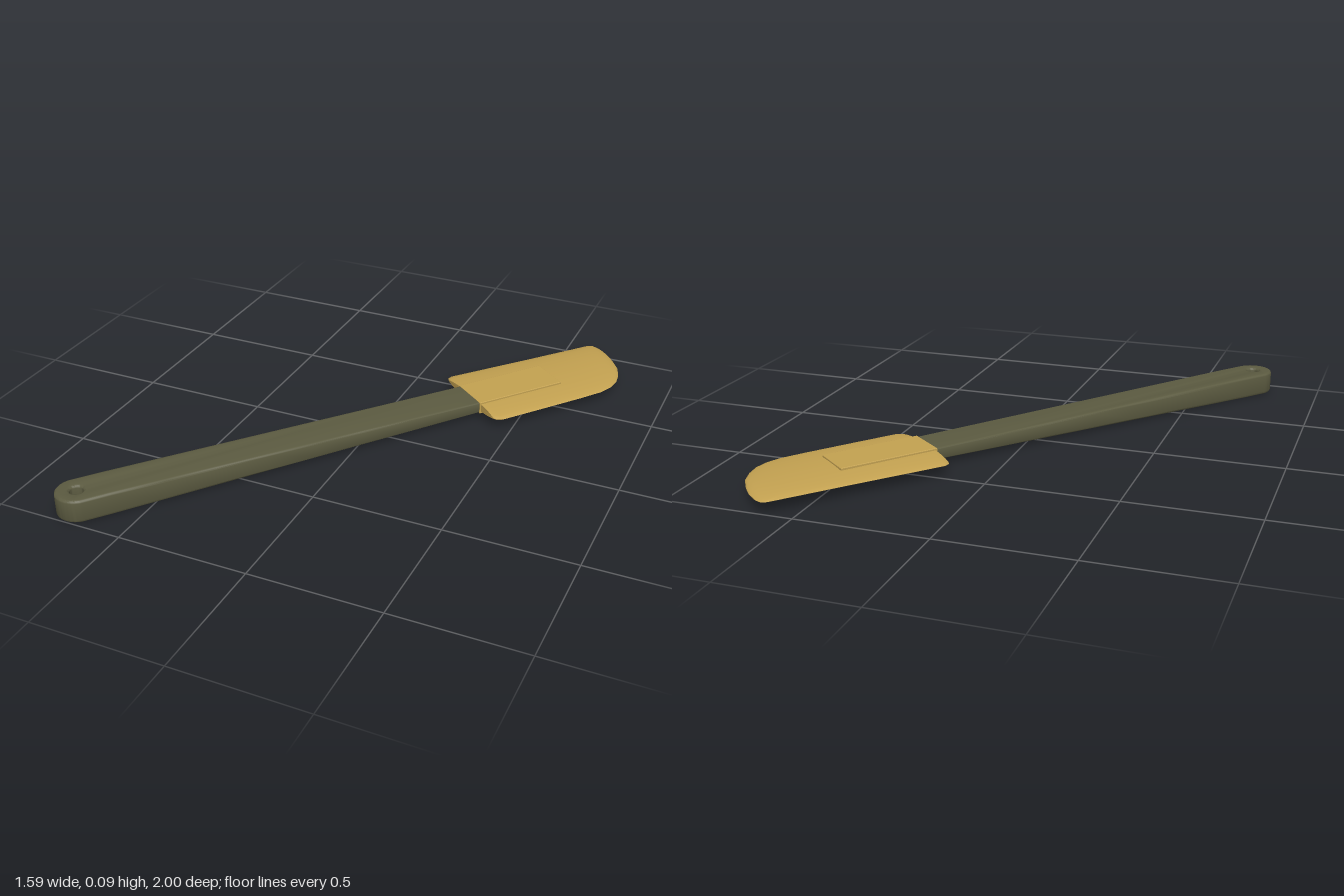
import * as THREE from 'three';
import { toCreasedNormals, mergeVertices } from 'three/addons/utils/BufferGeometryUtils.js';

const handleMaterial = new THREE.MeshStandardMaterial({ color: 0x5c5b41 });
const headMaterial = new THREE.MeshStandardMaterial({ color: 0xc4a251 });

// Plan outline (x along the tool, y across it) extruded and laid flat, centred on y = 0
function flatExtrude(shape, thickness, bevel) {
  const geo = new THREE.ExtrudeGeometry(shape, {
    depth: thickness - 2 * bevel, bevelEnabled: true, bevelThickness: bevel,
    bevelSize: bevel, bevelOffset: -bevel, bevelSegments: 3, curveSegments: 24,
  });
  geo.translate(0, 0, -thickness / 2 + bevel);
  return geo.rotateX(-Math.PI / 2);
}

// Long bar with a round, pierced end; it thins steadily towards the head
function createHandle() {
  const r = 0.079, end = 1.7, steps = 8;
  const shape = new THREE.Shape();
  shape.absarc(0, 0, r, Math.PI / 2, Math.PI * 1.5, false);
  for (let i = 0; i <= steps; i++) shape.lineTo(0.1 + (end - 0.1) * i / steps, -r);
  for (let i = steps; i >= 0; i--) shape.lineTo(0.1 + (end - 0.1) * i / steps, r);
  shape.closePath();
  const hole = new THREE.Path();
  hole.absarc(0, 0, 0.025, 0, Math.PI * 2, true);
  shape.holes.push(hole);

  const geo = flatExtrude(shape, 0.09, 0.01);
  const pos = geo.attributes.position;
  for (let i = 0; i < pos.count; i++) {
    const t = Math.max(0, (pos.getX(i) - 0.1) / 1.51);
    pos.setY(i, pos.getY(i) * (1 - 0.49 * t));
  }
  geo.deleteAttribute('uv');
  return new THREE.Mesh(toCreasedNormals(geo, 0.6), handleMaterial);
}

// Blade lofted from lens-shaped sections: [distance, left edge, right edge, half thickness]
function createBlade() {
  const sections = [
    [1.618, 0.175, -0.175, 0.019], [1.624, 0.19, -0.19, 0.019],
    [1.645, 0.2, -0.2, 0.019], [1.82, 0.193, -0.199, 0.019],
    [2.02, 0.185, -0.197, 0.018], [2.12, 0.182, -0.193, 0.018],
    [2.18, 0.18, -0.178, 0.018], [2.228, 0.178, -0.152, 0.0175],
    [2.27, 0.177, -0.11, 0.0165], [2.305, 0.176, -0.057, 0.0135],
    [2.325, 0.173, 0.0, 0.0095], [2.334, 0.167, 0.035, 0.006],
    [2.342, 0.14, 0.08, 0.002],
  ];
  const n = 40, verts = [], index = [];
  for (const [u, left, right, h] of sections) {
    for (let j = 0; j < n; j++) {
      const a = j / n * Math.PI * 2, s = Math.sin(a);
      const v = (left + right) / 2 + (left - right) / 2 * Math.cos(a);
      verts.push(u, h * Math.sign(s) * Math.pow(Math.abs(s), 1.3), -v);
    }
  }
  const last = sections.length - 1;
  for (let i = 0; i < last; i++) {
    for (let j = 0; j < n; j++) {
      const a = i * n + j, b = i * n + (j + 1) % n;
      index.push(a, b, a + n, b, b + n, a + n);
    }
  }
  // End caps
  const root = verts.length / 3, tip = root + 1;
  verts.push(sections[0][0], 0, 0, sections[last][0], 0, -0.11);
  for (let j = 0; j < n; j++) {
    const k = (j + 1) % n;
    index.push(root, k, j, tip, last * n + j, last * n + k);
  }
  const geo = new THREE.BufferGeometry();
  geo.setAttribute('position', new THREE.Float32BufferAttribute(verts, 3));
  geo.setIndex(index);
  return new THREE.Mesh(toCreasedNormals(mergeVertices(geo), 0.8), headMaterial);
}

// Raised sleeve on both faces of the blade, where the handle is held
function createSocket() {
  const shape = new THREE.Shape();
  shape.moveTo(1.612, -0.083);
  shape.lineTo(2.0, -0.083);
  shape.lineTo(2.0, 0.08);
  shape.lineTo(1.612, 0.08);
  shape.closePath();
  return new THREE.Mesh(flatExtrude(shape, 0.05, 0.003), headMaterial);
}

export function createModel() {
  const model = new THREE.Group();
  model.name = 'spatula';
  const tool = new THREE.Group();
  tool.name = 'tool';
  const parts = { handle: createHandle(), blade: createBlade(), socket: createSocket() };
  for (const [name, mesh] of Object.entries(parts)) {
    mesh.name = name;
    tool.add(mesh);
  }
  // Lay the tool diagonally, with the handle hole as its origin
  tool.position.set(-0.72, 0.045, 0.92);
  tool.rotation.y = 0.893;
  model.add(tool);
  return model;
}
